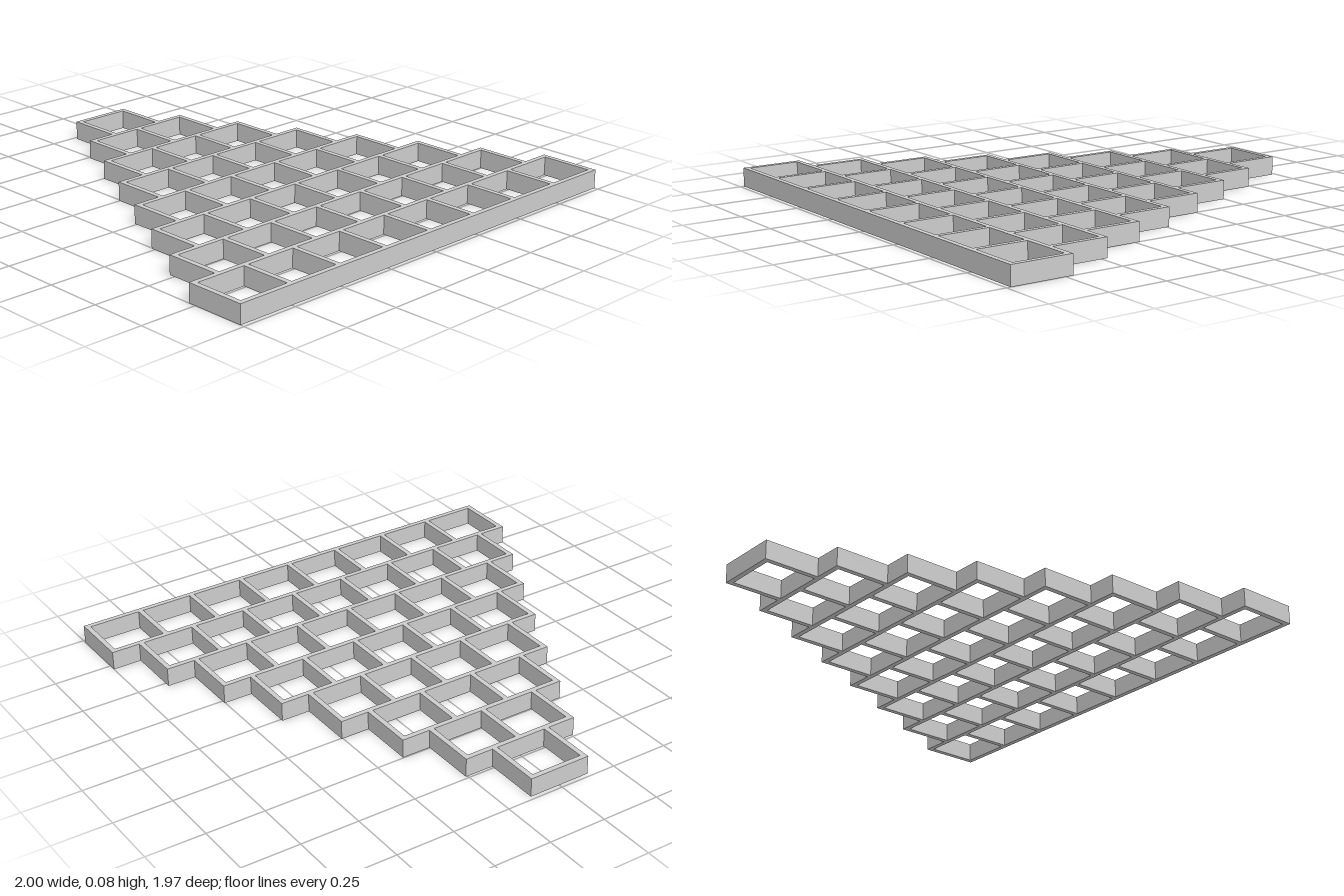
import * as THREE from 'three';

const ROWS = 8;
const WALL = 0.022;
const HEIGHT = 0.08;
const DEPTH = 1.966;
const PITCH_X = (2 - WALL) / ROWS;
const PITCH_Z = (DEPTH - WALL) / ROWS;

// Back edge of a row, and half the width of a row with (row + 1) cells
const backEdge = (row) => -DEPTH / 2 + row * PITCH_Z;
const halfWidth = (row) => ((row + 1) * PITCH_X + WALL) / 2;

// Stepped triangular outline, clockwise, drawn with shape y = -z
function steppedOutline() {
  const side = [];
  for (let row = 0; row < ROWS; row++) {
    const front = row === ROWS - 1 ? DEPTH / 2 : backEdge(row + 1);
    side.push([halfWidth(row), -backEdge(row)], [halfWidth(row), -front]);
  }
  const right = side.map(([x, y]) => new THREE.Vector2(x, y));
  const left = side.map(([x, y]) => new THREE.Vector2(-x, y)).reverse();
  return new THREE.Shape([...right, ...left]);
}

// Rectangular opening of one cell, counter-clockwise so its walls face inwards
function cellHole(row, column) {
  const x0 = -halfWidth(row) + WALL + column * PITCH_X;
  const x1 = x0 + PITCH_X - WALL;
  const y0 = -(backEdge(row) + WALL);
  const y1 = y0 - (PITCH_Z - WALL);
  return new THREE.Path([
    new THREE.Vector2(x0, y0), new THREE.Vector2(x0, y1),
    new THREE.Vector2(x1, y1), new THREE.Vector2(x1, y0),
  ]);
}

export function createModel() {
  const group = new THREE.Group();
  group.name = 'triangularRack';

  // Staggered rows of open cells, one more cell per row towards the front
  const shape = steppedOutline();
  for (let row = 0; row < ROWS; row++) {
    for (let column = 0; column <= row; column++) shape.holes.push(cellHole(row, column));
  }
  const geometry = new THREE.ExtrudeGeometry(shape, { depth: HEIGHT, bevelEnabled: false });
  geometry.rotateX(-Math.PI / 2);

  const lattice = new THREE.Mesh(geometry, new THREE.MeshStandardMaterial({ color: 0xcccccc }));
  lattice.name = 'cellLattice';
  group.add(lattice);
  return group;
}
